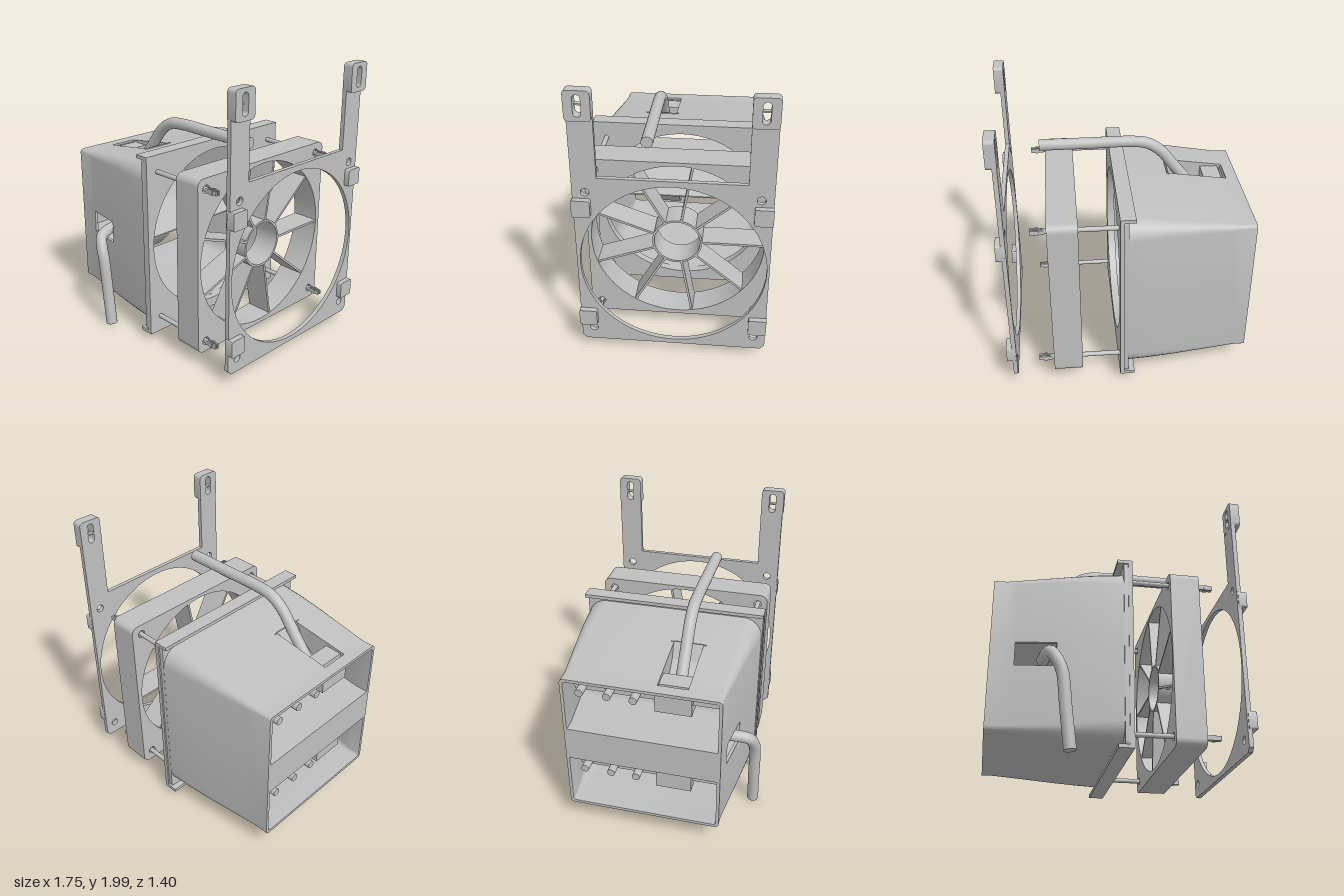
import * as THREE from 'three';
import { toCreasedNormals } from 'three/addons/utils/BufferGeometryUtils.js';

const CY = 0.735, CZ = -0.042; // fan axis
const grey = new THREE.MeshStandardMaterial({ color: 0xc0c0c0, side: THREE.DoubleSide });
grey.name = 'plain grey';

function add(parent, name, geo) {
  const m = new THREE.Mesh(geo, grey);
  m.name = name;
  parent.add(m);
  return m;
}
function box(parent, name, x0, x1, y0, y1, z0, z1) {
  add(parent, name, new THREE.BoxGeometry(x1 - x0, y1 - y0, z1 - z0))
    .position.set((x0 + x1) / 2, (y0 + y1) / 2, (z0 + z1) / 2);
}
function poly(pts) { return new THREE.Shape(pts.map(p => new THREE.Vector2(p[0], p[1]))); }
function circle(x, y, r) { return new THREE.Path().absarc(x, y, r, 0, Math.PI * 2, true); }
function roundRect(x0, x1, y0, y1, r) {
  const s = new THREE.Shape();
  s.absarc(x1 - r, y1 - r, r, 0, Math.PI / 2);
  s.absarc(x0 + r, y1 - r, r, Math.PI / 2, Math.PI);
  s.absarc(x0 + r, y0 + r, r, Math.PI, Math.PI * 1.5);
  s.absarc(x1 - r, y0 + r, r, Math.PI * 1.5, Math.PI * 2);
  s.closePath();
  return s;
}
// shape drawn in (-z, y), extruded along x
function slab(shape, x0, x1) {
  const g = new THREE.ExtrudeGeometry(shape, { depth: x1 - x0, bevelEnabled: false, curveSegments: 32 });
  return toCreasedNormals(g.rotateY(Math.PI / 2).translate(x0, 0, 0), 0.5);
}
// shape drawn in (x, y), extruded along z
function prism(shape, z0, z1) {
  return new THREE.ExtrudeGeometry(shape, { depth: z1 - z0, bevelEnabled: false }).translate(0, 0, z0);
}
function tube(x0, x1, r, y, z, seg = 20) {
  return new THREE.CylinderGeometry(r, r, x1 - x0, seg).rotateZ(Math.PI / 2).translate((x0 + x1) / 2, y, z);
}
const corners = [[0.5575, 0.555], [-0.5575, 0.555], [0.5575, -0.555], [-0.5575, -0.555]]
  .map(([a, b]) => [CZ + a, CY + b]);
function punch(shape, r, screwR) {
  shape.holes.push(circle(-CZ, CY, r), ...corners.map(([z, y]) => circle(-z, y, screwR)));
  return shape;
}

// tapering duct wall with two openings
function ductWall() {
  const rows = [-0.875, -0.79, -0.71, -0.44, -0.345, -0.16, 0.01];
  const rOut = [0.03, 0.03, 0.04, 0.07, 0.08, 0.11, 0.14];
  const rIn = [0.02, 0.02, 0.04, 0.1, 0.13, 0.2, 0.3];
  const section = (i, off, r) => {
    const x = rows[i], t = Math.min(Math.max((x + 0.79) / 0.77, 0), 1), L = THREE.MathUtils.lerp;
    const y0 = L(0.165, 0.11, t) + off, y1 = L(1.24, 1.355, t) - off;
    const z0 = L(-0.59, -0.69, t) + off, z1 = L(0.495, 0.6, t) - off;
    const pts = [];
    const arc = (z, y, a) => {
      for (let k = 0; k <= 6; k++) {
        const b = a - k * Math.PI / 12;
        pts.push([x, y + r * Math.sin(b), z + r * Math.cos(b)]);
      }
    };
    arc(z0 + r, y1 - r, Math.PI);
    pts.push([x, y1, 0.05], [x, y1, 0.255]);
    arc(z1 - r, y1 - r, Math.PI / 2);
    pts.push([x, 0.775, z1], [x, 0.61, z1]);
    arc(z1 - r, y0 + r, 0);
    arc(z0 + r, y0 + r, -Math.PI / 2);
    return pts;
  };
  const out = rows.map((_, i) => section(i, 0, rOut[i]));
  const inn = rows.map((_, i) => section(i, 0.022, rIn[i]));
  const n = out[0].length, pos = [];
  const quad = (a, b, c, d) => pos.push(...a, ...b, ...c, ...a, ...c, ...d);
  const open = (i, j) => i < 0 || i > rows.length - 2 || (j === 7 && i >= 1 && i <= 3) || (j === 16 && i === 2);
  for (let i = 0; i < rows.length - 1; i++) for (let j = 0; j < n; j++) {
    if (open(i, j)) continue;
    const k = (j + 1) % n, p = (j + n - 1) % n;
    quad(out[i][j], out[i + 1][j], out[i + 1][k], out[i][k]);
    quad(inn[i][j], inn[i][k], inn[i + 1][k], inn[i + 1][j]);
    // wall thickness along the rims
    if (open(i - 1, j)) quad(out[i][j], out[i][k], inn[i][k], inn[i][j]);
    if (open(i + 1, j)) quad(out[i + 1][k], out[i + 1][j], inn[i + 1][j], inn[i + 1][k]);
    if (open(i, k)) quad(out[i][k], out[i + 1][k], inn[i + 1][k], inn[i][k]);
    if (open(i, p)) quad(out[i + 1][j], out[i][j], inn[i][j], inn[i + 1][j]);
  }
  const g = new THREE.BufferGeometry();
  g.setAttribute('position', new THREE.Float32BufferAttribute(pos, 3));
  return toCreasedNormals(g, 0.5);
}

// hollow wedge across the duct, its ends following the side walls
function divider() {
  const s = poly([[-0.875, 0.58], [-0.45, 0.58], [-0.08, 0.73], [-0.08, 0.74], [-0.45, 0.83], [-0.875, 0.83]]);
  s.holes.push(poly([[-0.85, 0.6], [-0.85, 0.81], [-0.45, 0.81], [-0.2, 0.74], [-0.2, 0.71], [-0.45, 0.6]]));
  const g = prism(s, -1, 1), p = g.attributes.position;
  for (let i = 0; i < p.count; i++) {
    const t = Math.max((p.getX(i) + 0.79) / 0.77, 0);
    p.setZ(i, -0.046 + p.getZ(i) * (0.53 + 0.095 * t));
  }
  g.computeVertexNormals();
  return g;
}

// spray bar with inlet pocket and nozzles
function manifold(name) {
  const g = new THREE.Group();
  g.name = name;
  add(g, 'sprayBar', slab(poly([[-0.49, 1.1], [0.53, 1.1], [0.53, 1.17], [0.07, 1.17], [-0.03, 1.23], [-0.49, 1.23]]), -0.76, -0.63));
  for (const z of [-0.1, -0.28, -0.47]) add(g, 'nozzle', tube(-0.85, -0.62, 0.028, 1.128, z));
  const side = [[-0.79, 1.23], [-0.79, 1.035], [-0.6, 1.035], [-0.5, 1.08], [-0.4, 1.18], [-0.345, 1.29]];
  for (const z of [0.03, 0.26]) add(g, 'pocketSide', prism(poly(side), z, z + 0.02));
  const floor = side.slice(1);
  const upper = floor.map(([x, y]) => [x - 0.01, y + 0.02]).reverse();
  add(g, 'pocketFloor', prism(poly([...floor, ...upper]), 0.03, 0.28));
  box(g, 'pocketBack', -0.8, -0.78, 1.035, 1.225, 0.03, 0.28);
  return g;
}

function hose(points) {
  const c = new THREE.CatmullRomCurve3(points.map(p => new THREE.Vector3(...p)), false, 'centripetal');
  const g = new THREE.Group(), r = 0.041;
  add(g, 'hoseTube', new THREE.TubeGeometry(c, 48, r, 20));
  const cap = add(g, 'hoseEnd', new THREE.CircleGeometry(r, 20));
  cap.position.copy(c.getPoint(0));
  cap.quaternion.setFromUnitVectors(new THREE.Vector3(0, 0, 1), c.getTangent(0).negate());
  return g;
}

export function createModel() {
  const model = new THREE.Group();
  model.name = 'fanDuctAssembly';

  // duct
  const duct = new THREE.Group();
  duct.name = 'duct';
  add(duct, 'ductWall', ductWall());
  add(duct, 'divider', divider());
  const flange = roundRect(-0.605, 0.69, 0.075, 1.395, 0.03);
  flange.holes.push(circle(-CZ, CY, 0.605));
  add(duct, 'flange', slab(flange, 0, 0.06));
  for (const [y0, y1] of [[0.06, 0.085], [1.385, 1.41]]) box(duct, 'flangeLip', -0.045, 0.06, y0, y1, -0.7, 0.61);
  for (const z of [-0.7, 0.595]) box(duct, 'flangeEdge', 0.03, 0.06, 0.06, 1.41, z, z + 0.015);
  duct.add(manifold('upperManifold'));
  const lower = manifold('lowerManifold');
  lower.position.y = -0.648;
  duct.add(lower);
  model.add(duct);

  // split mounting pins
  for (const [z, y] of corners) {
    add(model, 'pin', tube(0.05, 0.56, 0.017, y, z));
    for (const s of [-1, 1]) {
      box(model, 'pinProng', 0.55, 0.645, y - 0.015, y + 0.015, z + s * 0.011 - 0.006, z + s * 0.011 + 0.006);
      box(model, 'pinBarb', 0.585, 0.61, y - 0.018, y + 0.018, z + s * 0.016 - 0.005, z + s * 0.016 + 0.005);
    }
  }

  // fan
  const fan = new THREE.Group();
  fan.name = 'fan';
  add(fan, 'fanFrame', slab(punch(roundRect(-0.587, 0.68, 0.1, 1.365, 0.05), 0.605, 0.028), 0.33, 0.535));
  const hub = new THREE.Shape().absarc(-CZ, CY, 0.175, 0, Math.PI * 2);
  hub.holes.push(circle(-CZ, CY, 0.16));
  add(fan, 'hub', slab(hub, 0.335, 0.53));
  for (let i = 0; i < 9; i++) {
    const blade = add(fan, 'blade', new THREE.BoxGeometry(0.195, 0.016, 0.445).translate(0, 0, -0.39));
    blade.position.set(0.4325, CY, CZ);
    blade.rotation.x = i * Math.PI * 2 / 9;
  }
  model.add(fan);

  // mounting plate with two arms
  const bracket = new THREE.Group();
  bracket.name = 'mountingBracket';
  const plate = poly([[-0.57, 0.08], [0.65, 0.08], [0.68, 0.11], [0.68, 1.9], [0.515, 1.9], [0.515, 1.395],
    [-0.437, 1.395], [-0.437, 1.9], [-0.6, 1.9], [-0.6, 0.11]]);
  punch(plate, 0.62, 0.028);
  const slot = s => {
    const p = new THREE.Path();
    p.absarc(s, 1.948, 0.025, 0, Math.PI);
    p.absarc(s, 1.855, 0.025, Math.PI, Math.PI * 2);
    return p.closePath();
  };
  for (const s of [-0.52, 0.597]) {
    plate.holes.push(poly([[s - 0.04, 1.82], [s + 0.04, 1.82], [s + 0.04, 1.89], [s - 0.04, 1.89]]));
    const pad = roundRect(s - 0.083, s + 0.083, 1.8, 2, 0.025);
    pad.holes.push(slot(s));
    add(bracket, 'slottedPad', slab(pad, 0.8, 0.87));
  }
  add(bracket, 'plate', slab(plate, 0.801, 0.832));
  for (const s of [-0.605, 0.56]) for (const y of [0.23, 1.12])
    add(bracket, 'cornerPad', slab(roundRect(s, s + 0.122, y, y + 0.122, 0.012), 0.81, 0.87));
  model.add(bracket);

  // hoses
  const top = hose([[0.57, 1.525, 0.15], [0.2, 1.525, 0.15], [-0.08, 1.525, 0.15], [-0.2, 1.51, 0.15],
    [-0.3, 1.45, 0.15], [-0.43, 1.29, 0.15], [-0.6, 1.08, 0.15]]);
  top.name = 'topHose';
  const side = hose([[-0.35, 0.01, 0.658], [-0.38, 0.26, 0.658], [-0.41, 0.52, 0.658], [-0.44, 0.6, 0.65],
    [-0.48, 0.67, 0.62], [-0.5, 0.695, 0.55], [-0.52, 0.7, 0.4]]);
  side.name = 'sideHose';
  model.add(top, side);
  return model;
}
